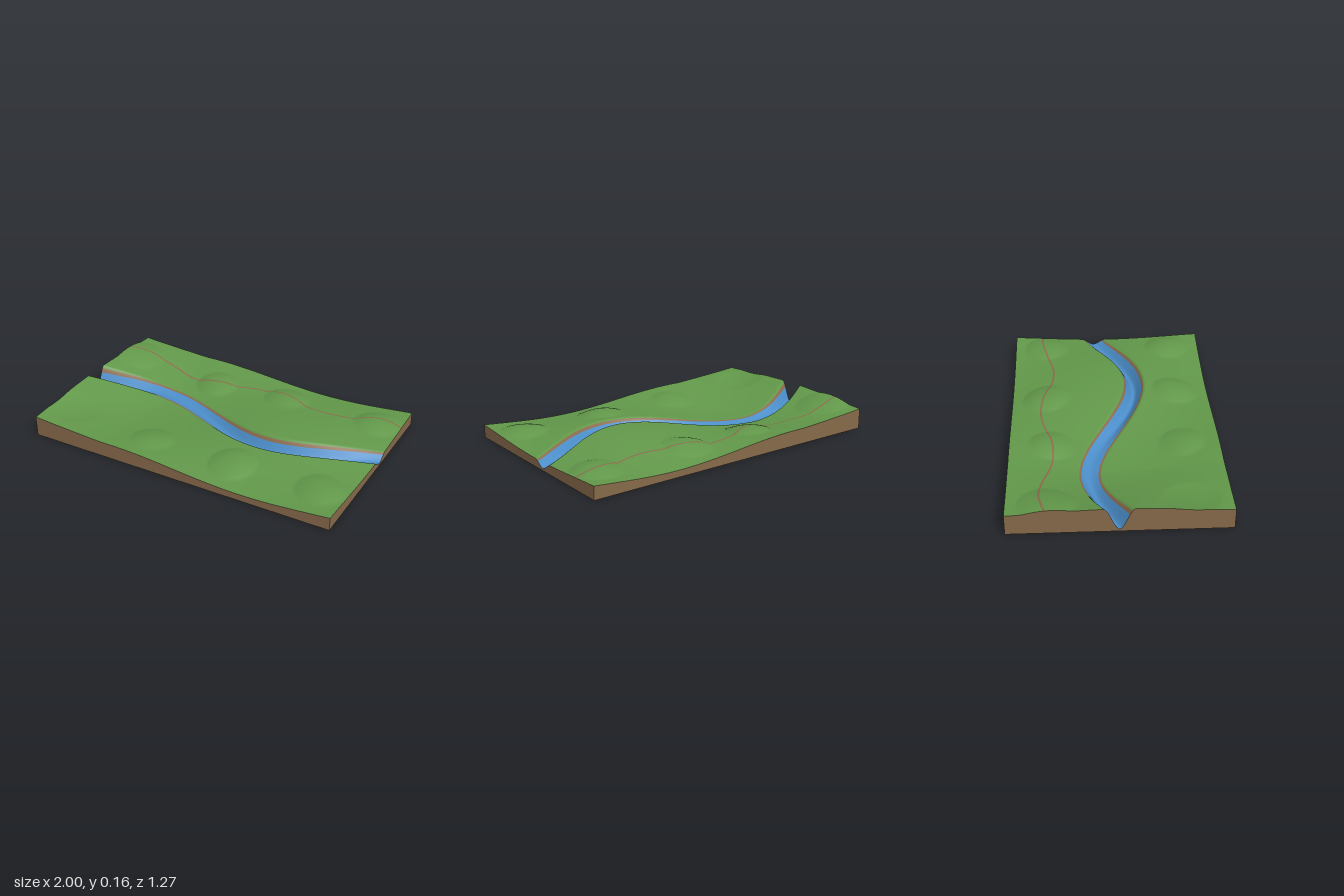
import * as THREE from 'three';

const HALF_X = 1, HALF_Z = 0.635, COLS = 160;
const BED = 0.015, CHANNEL = 0.078; // river bed height, channel half width

// Winding centre lines, z as a function of x
const riverZ = x => 0.155 * Math.sin(3.45 * (x + 0.095));
const riverStretch = x => Math.hypot(1, 0.535 * Math.cos(3.45 * (x + 0.095)));
const trailZ = x => -0.41 - 0.04 * Math.cos(7.25 * (x + 0.8));

// Mounds: x, z, radius, height
const MOUNDS = [
  [-0.9, -0.4, 0.17, 0.025], [-0.28, -0.38, 0.14, 0.03], [0.22, -0.42, 0.15, 0.03], [0.85, -0.42, 0.15, 0.03],
  [-0.87, 0.4, 0.17, -0.015], [-0.28, 0.41, 0.14, 0.025], [0.28, 0.42, 0.15, 0.03], [0.84, 0.41, 0.15, 0.03],
];

function height(x, z) {
  // Rolling ground, rising at the left end
  let y = 0.07 + 0.043 * Math.sin(3.57 * x) * Math.cos(3.57 * z);
  y += 0.071 * Math.pow(Math.max(0, (-x - 0.5) / 0.5), 1.3);
  for (const [mx, mz, r, h] of MOUNDS) {
    const d = Math.hypot(x - mx, z - mz) / r;
    if (d < 1) y += h * (1 - d * d);
  }
  // Carved channel
  const t = Math.min(1, Math.abs(z - riverZ(x)) / riverStretch(x) / CHANNEL);
  return BED + (y - BED) * t * t * (3 - 2 * t);
}

// Strips from back to front: far edge as a function of x, rows, material index
const river = d => x => riverZ(x) + d * riverStretch(x);
const GRASS = 0, TRAIL = 1, WATER = 2;
const STRIPS = [
  [x => trailZ(x) - 0.006, 20, GRASS],
  [x => trailZ(x) + 0.006, 1, TRAIL],
  [river(-CHANNEL), 20, GRASS],
  [river(-0.062), 3, GRASS],
  [river(-0.05), 3, TRAIL],
  [river(0.05), 16, WATER],
  [river(0.062), 3, TRAIL],
  [river(CHANNEL), 3, GRASS],
  [() => HALF_Z, 36, GRASS],
];

// All z values across the land at one x
function rowsAt(x) {
  const zs = [-HALF_Z];
  let from = -HALF_Z;
  for (const [edge, n] of STRIPS) {
    const to = edge(x);
    for (let k = 1; k <= n; k++) zs.push(from + (to - from) * k / n);
    from = to;
  }
  return zs;
}

function makeGeometry(positions, index) {
  const g = new THREE.BufferGeometry();
  g.setAttribute('position', new THREE.Float32BufferAttribute(positions, 3));
  g.setIndex(index);
  return g;
}

// Vertical wall from a top edge down to the ground
function wall(edge) {
  const pos = [], index = [];
  edge.forEach(([x, y, z], i) => {
    pos.push(x, y, z, x, 0, z);
    if (i > 0) {
      const a = 2 * i - 2;
      index.push(a, a + 1, a + 3, a, a + 3, a + 2);
    }
  });
  const g = makeGeometry(pos, index);
  g.computeVertexNormals();
  return g;
}

export function createModel() {
  const material = (name, color) => {
    const m = new THREE.MeshStandardMaterial({ color, side: THREE.DoubleSide });
    m.name = name;
    return m;
  };
  const grass = material('grass green', 0x62984a);
  const soil = material('bank brown', 0x8b6b4c);
  const water = material('water blue', 0x4c8fcb);
  const earth = material('earth brown', 0x86694a);

  // Grid of surface points
  const grid = [];
  for (let i = 0; i <= COLS; i++) {
    const x = -HALF_X + 2 * HALF_X * i / COLS;
    grid.push(rowsAt(x).map(z => [x, height(x, z), z]));
  }
  const rows = grid[0].length;

  // Land surface, one group of faces per strip
  const index = [], groups = [];
  let row = 0;
  for (const [, n, mat] of STRIPS) {
    const start = index.length;
    for (let j = row; j < row + n; j++) {
      for (let i = 0; i < COLS; i++) {
        const a = i * rows + j, d = a + rows;
        index.push(a, a + 1, d + 1, a, d + 1, d);
      }
    }
    groups.push([start, index.length - start, mat]);
    row += n;
  }
  const land = makeGeometry(grid.flat(2), index);
  groups.forEach(g => land.addGroup(...g));
  land.computeVertexNormals();

  const model = new THREE.Group();
  model.name = 'riverLandscape';
  const add = (name, geometry, mat) => {
    const mesh = new THREE.Mesh(geometry, mat);
    mesh.name = name;
    model.add(mesh);
  };
  add('landSurface', land, [grass, soil, water]);

  // Side walls, open underneath
  add('frontWall', wall(grid.map(c => c[rows - 1])), earth);
  add('backWall', wall(grid.map(c => c[0]).reverse()), earth);
  add('leftWall', wall(grid[COLS].slice().reverse()), earth);
  add('rightWall', wall(grid[0]), earth);
  return model;
}
